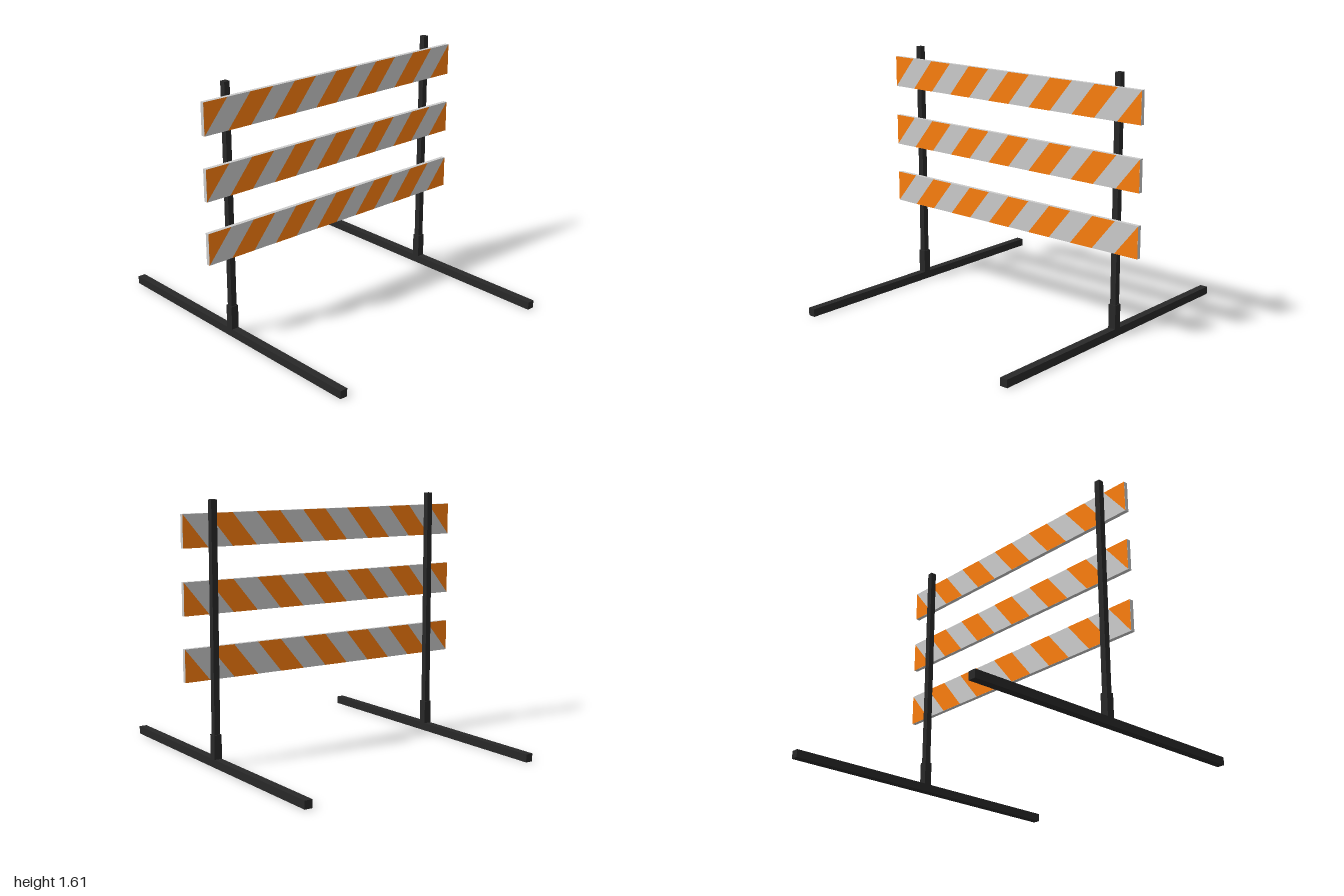
import * as THREE from 'three';

const grey = new THREE.MeshStandardMaterial({ color: 0xcccccc });
const black = new THREE.MeshStandardMaterial({ color: 0x282828 });
const orange = new THREE.MeshStandardMaterial({ color: 0xfb7e0e });

const BOARD = { height: 0.2, back: 0.019, front: 0.045 };
const PITCH = 1 / 6; // stripe width, also its slant across the board

function box(name, material, size, position) {
  const mesh = new THREE.Mesh(new THREE.BoxGeometry(...size), material);
  mesh.name = name;
  mesh.position.set(...position);
  return mesh;
}

// Slanted stripes, cut off to triangles at both ends of the board
function stripeShapes() {
  const h = BOARD.height / 2;
  const shapes = [];
  for (let i = 0; i <= 6; i++) {
    const x = -1 + i * 2 * PITCH; // left corner of the stripe's top edge
    let points = [[x - PITCH, -h], [x, -h], [x + PITCH, h], [x, h]];
    if (i === 0) points = [[x, -h], [x + PITCH, h], [x, h]];
    if (i === 6) points = [[x - PITCH, -h], [x, -h], [x, h]];
    shapes.push(new THREE.Shape(points.map(([px, py]) => new THREE.Vector2(px, py))));
  }
  return shapes;
}

function createBoard(y) {
  const board = new THREE.Group();
  board.name = 'board';
  board.position.y = y;
  const { height, back, front } = BOARD;
  board.add(box('boardPanel', grey, [2, height, front - back], [0, 0, (front + back) / 2]));

  // Stripes run through to both faces
  const frontStripes = new THREE.Mesh(new THREE.ShapeGeometry(stripeShapes()), orange);
  frontStripes.name = 'frontStripes';
  frontStripes.position.z = front + 0.001;

  // Half turn about z-y: the pattern is point-symmetric, so flip both x and y to match
  const backGeometry = new THREE.ShapeGeometry(
    stripeShapes().map((s) => new THREE.Shape(s.getPoints().map((p) => new THREE.Vector2(-p.x, p.y)))));
  const backStripes = new THREE.Mesh(backGeometry, orange);
  backStripes.name = 'backStripes';
  backStripes.rotation.y = Math.PI;
  backStripes.position.z = back - 0.001;

  board.add(frontStripes, backStripes);
  return board;
}

// Foot rail, socket and upright post
function createStand(name, x) {
  const stand = new THREE.Group();
  stand.name = name;
  stand.position.x = x;
  stand.add(
    box('footRail', black, [0.05, 0.05, 2], [0, 0.025, 0]),
    box('postSocket', black, [0.05, 0.15, 0.05], [0, 0.125, 0]),
    box('post', black, [0.038, 1.405, 0.038], [0, 0.9025, 0]),
  );
  return stand;
}

export function createModel() {
  const model = new THREE.Group();
  model.name = 'barricade';
  model.add(createStand('leftStand', 0.812), createStand('rightStand', -0.812));
  for (const y of [0.632, 1.028, 1.425]) model.add(createBoard(y));
  return model;
}
